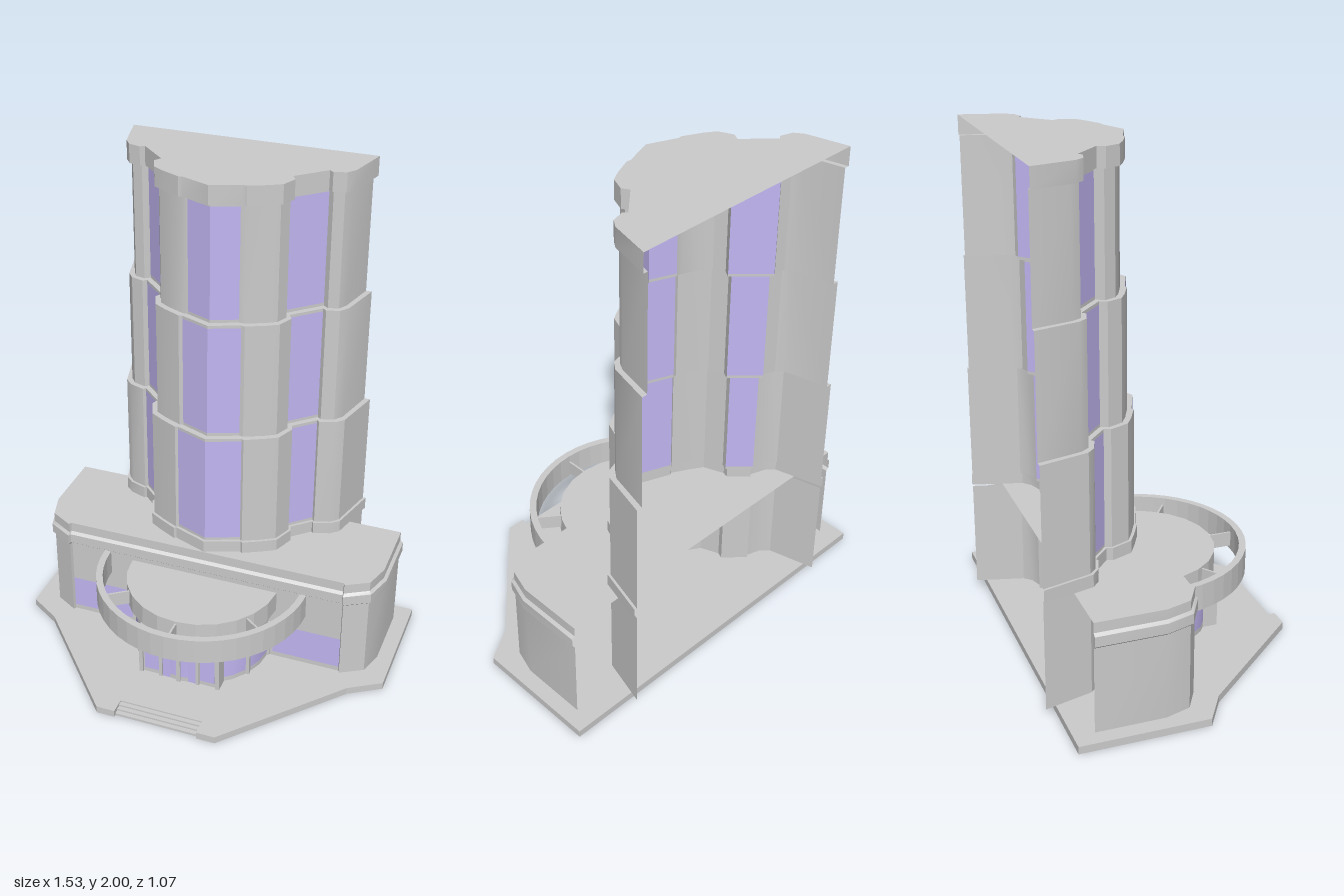
import * as THREE from 'three';
import { toCreasedNormals } from 'three/addons/utils/BufferGeometryUtils.js';

const grey = new THREE.MeshStandardMaterial({ color: 0xcccccc, side: THREE.DoubleSide });
const glass = new THREE.MeshStandardMaterial({ color: 0xc2b6f2, side: THREE.DoubleSide });

function add(parent, name, geometry, material = grey) {
  const mesh = new THREE.Mesh(geometry, material);
  mesh.name = name;
  parent.add(mesh);
  return mesh;
}

// Wall between two [x, z] paths at two heights; keep(i) selects the path segments used
function wall(a, y0, b, y1, keep = () => true) {
  const p = [];
  for (let i = 0; i < a.length - 1; i++) {
    if (!keep(i)) continue;
    const A = [a[i][0], y0, a[i][1]], B = [a[i + 1][0], y0, a[i + 1][1]];
    const C = [b[i + 1][0], y1, b[i + 1][1]], D = [b[i][0], y1, b[i][1]];
    p.push(...A, ...B, ...C, ...A, ...C, ...D);
  }
  const g = new THREE.BufferGeometry();
  g.setAttribute('position', new THREE.Float32BufferAttribute(p, 3));
  g.computeVertexNormals();
  return toCreasedNormals(g, 0.5);
}

const toShape = (pts) => new THREE.Shape(pts.map(([x, z]) => new THREE.Vector2(x, z)));

// Horizontal slab from a plan shape (x, z)
function slab(shape, y0, y1) {
  const g = new THREE.ExtrudeGeometry(shape, { depth: y1 - y0, bevelEnabled: false, curveSegments: 12 });
  return g.rotateX(Math.PI / 2).translate(0, y1, 0);
}

// Flat sheet from a plan path, facing up
function sheet(pts, y) {
  return new THREE.ShapeGeometry(toShape(pts.map(([x, z]) => [x, -z]))).rotateX(-Math.PI / 2).translate(0, y, 0);
}

function box(parent, name, x0, x1, y0, y1, z0, z1, material = grey) {
  const g = new THREE.BoxGeometry(x1 - x0, y1 - y0, z1 - z0);
  return add(parent, name, g.translate((x0 + x1) / 2, (y0 + y1) / 2, (z0 + z1) / 2), material);
}

// Mirror a half path that runs from the middle towards +x
const mirror = (half) => [
  ...half.slice().reverse().filter(([x]) => x > 0).map(([x, z]) => [-x, z]), ...half];

// Half plans of the tower at its narrowest and widest tiers
const NARROW = [[0, -.065], [.10, -.105], [.12, -.105], [.19, -.135], [.23, -.16], [.25, -.205],
  [.23, -.235], [.35, -.35], [.37, -.335], [.41, -.345], [.43, -.38], [.465, -.53]];
const WIDE = [[0, -.015], [.13, -.065], [.14, -.06], [.21, -.095], [.26, -.125], [.29, -.2],
  [.28, -.225], [.36, -.30], [.37, -.29], [.43, -.31], [.46, -.34], [.51, -.53]];
const plan = (t) => mirror(NARROW.map(([x, z], i) => [
  x + (WIDE[i][0] - x) * t, i === 11 ? z : z + (WIDE[i][1] - z) * t]));
const MID = 11; // path index of the tower's front ridge
const isWindow = (i) => {
  const k = i >= MID ? i - MID : MID - 1 - i;
  return k === 0 || k === 6;
};

function makeTower() {
  const tower = new THREE.Group();
  tower.name = 'tower';
  const low = plan(1), plinth = plan(1.25), cap = plan(.4);
  add(tower, 'towerFoot', wall(low, .03, low, .47));
  add(tower, 'towerPlinth', wall(plinth, .47, plinth, .52));
  add(tower, 'plinthLedge', wall(plinth, .52, low, .52));

  // Three tiers, each set back from the one below
  const tiers = [[1, .52, .99], [.5, .99, 1.46], [0, 1.46, 1.925]];
  tiers.forEach(([t, y0, y1], n) => {
    const p = plan(t), lip = .012;
    add(tower, 'tierPiers', wall(p, y0, p, y1, (i) => !isWindow(i)));
    add(tower, 'tierSills', wall(p, y0, p, y0 + lip, isWindow));
    add(tower, 'tierLintels', wall(p, y1 - lip, p, y1, isWindow));
    add(tower, 'tierWindows', wall(p, y0 + lip, p, y1 - lip, isWindow), glass);
    const next = n < 2 ? plan(tiers[n + 1][0]) : cap;
    add(tower, 'tierLedge', wall(p, y1, next, y1));
  });
  add(tower, 'towerCap', wall(cap, 1.925, cap, 2));
  add(tower, 'towerRoof', sheet(cap, 2));
  return tower;
}

function makePodium() {
  const podium = new THREE.Group();
  podium.name = 'podium';
  const outline = (o) => mirror([[.3, o], [.58, o], [.585, .012 + o], [.675 + o * .7, -.04 + o * .7],
    [.705 + o, -.14], [.705 + o, -.41]]);
  const body = outline(0), band = outline(.012);
  const bay = (i) => i === 4 || i === 6; // window bays either side of the entrance
  add(podium, 'podiumWall', wall(body, .03, body, .37, (i) => !bay(i)));
  add(podium, 'baySill', wall(body, .03, body, .05, bay));
  add(podium, 'bayWindows', wall(body, .05, body, .19, bay), glass);
  add(podium, 'bayWall', wall(body, .19, body, .37, bay));
  add(podium, 'bandUnderside', wall(body, .37, band, .38));
  add(podium, 'podiumBand', wall(band, .38, band, .42));
  add(podium, 'bandTop', wall(band, .42, body, .43));
  add(podium, 'podiumParapet', wall(body, .43, body, .47));
  add(podium, 'podiumRoof', sheet(body, .47));
  return podium;
}

function makeEntrance() {
  const entrance = new THREE.Group();
  entrance.name = 'entrance';
  // Half round drum with a band of glass
  const arc = (r, n = 12) => Array.from({ length: n + 1 }, (_, i) => {
    const a = Math.PI * (1 - i / n);
    return [r * Math.cos(a), r * Math.sin(a)];
  });
  const drum = arc(.28);
  add(entrance, 'drumSill', wall(drum, .03, drum, .05));
  add(entrance, 'drumGlass', wall(drum, .05, drum, .19), glass);
  add(entrance, 'drumWall', wall(drum, .19, drum, .27));
  drum.forEach(([x, z], i) => {
    if (i % 2) return;
    box(entrance, 'mullion', x - .008, x + .008, .03, .2, z - .008, z + .008);
  });
  add(entrance, 'drumRoof', slab(toShape(arc(.31)), .265, .35));

  // Open canopy ring tied back by three spokes
  const ring = new THREE.Shape();
  ring.absarc(0, 0, .432, 0, Math.PI, false);
  ring.lineTo(-.405, 0);
  ring.absarc(0, 0, .405, Math.PI, 0, true);
  add(entrance, 'canopyRing', slab(ring, .265, .37));
  for (const deg of [36, 90, 144]) {
    const spoke = add(entrance, 'canopySpoke', new THREE.BoxGeometry(.11, .06, .008).translate(.355, .31, 0));
    spoke.rotation.y = -THREE.MathUtils.degToRad(deg);
  }

  // Portal with door and side lights
  box(entrance, 'portal', -.16, .16, .03, .2, .2, .27);
  box(entrance, 'portalLintel', -.17, .17, .195, .255, .2, .28);
  box(entrance, 'door', -.07, .07, .03, .165, .26, .275, glass);
  for (const s of [-1, 1]) {
    box(entrance, 'doorJamb', s * .078 - .007, s * .078 + .007, .03, .175, .26, .28);
    box(entrance, 'sideLight', s * .118 - .03, s * .118 + .03, .05, .19, .26, .273, glass);
    box(entrance, 'portalPost', s * .162 - .008, s * .162 + .008, .03, .2, .22, .28);
  }
  box(entrance, 'doorHead', -.085, .085, .165, .177, .26, .28);
  return entrance;
}

export function createModel() {
  const model = new THREE.Group();
  model.name = 'tower building';

  // Ground plate with a notch for the front steps
  const plate = mirror([[.17, .47], [.17, .535], [.245, .535], [.64, .09], [.767, .01], [.767, -.49]]);
  add(model, 'groundPlate', slab(toShape(plate), 0, .03));
  for (let i = 0; i < 3; i++) {
    box(model, 'step', -.17, .17, 0, .024 - i * .007, .47 + i * .018, .488 + i * .018);
  }

  model.add(makePodium(), makeEntrance(), makeTower());
  return model;
}
